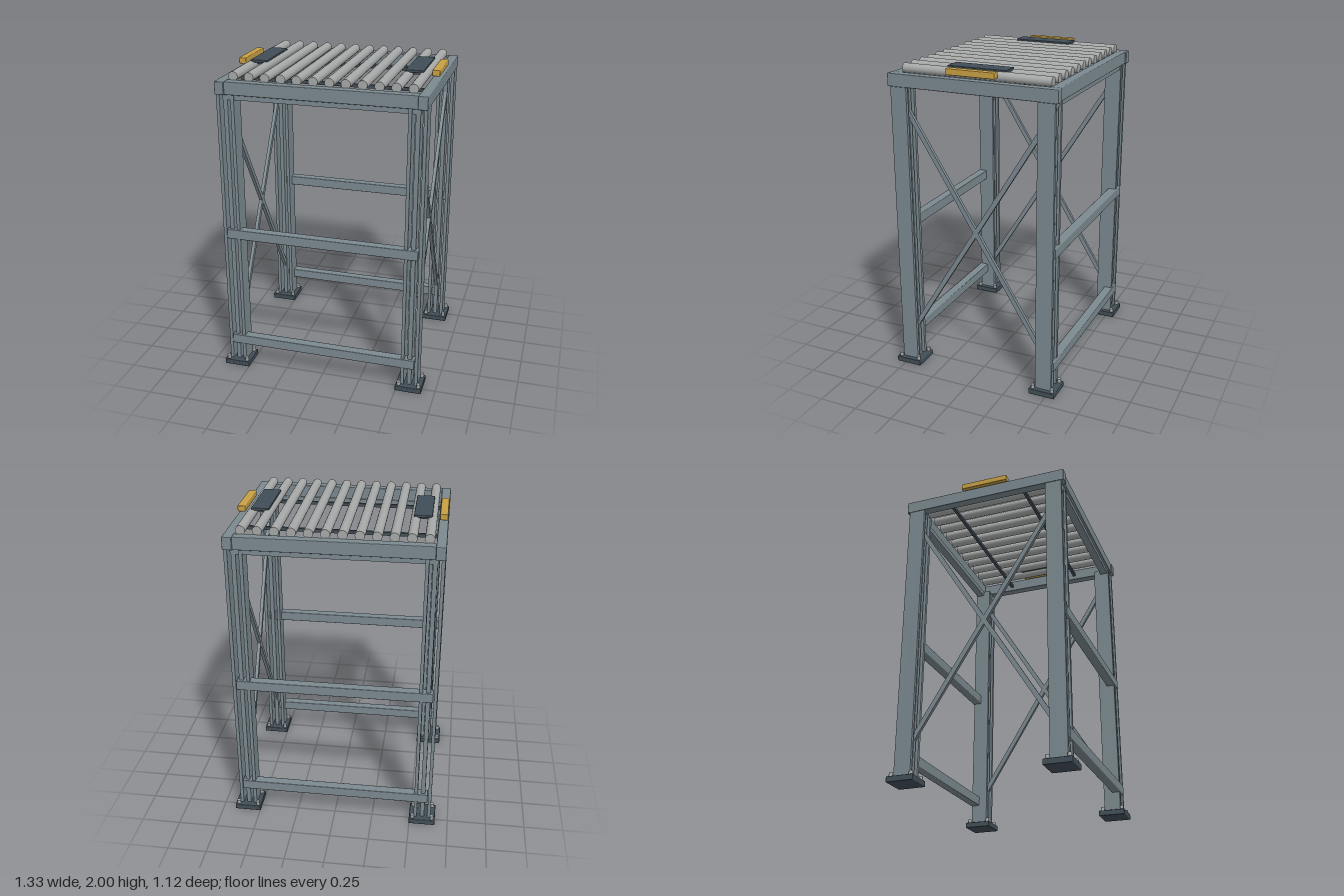
import * as THREE from 'three';
import { RoundedBoxGeometry } from 'three/addons/geometries/RoundedBoxGeometry.js';

const material = (name, color) => {
  const m = new THREE.MeshStandardMaterial({ color });
  m.name = name;
  return m;
};

export function createModel() {
  const model = new THREE.Group();
  model.name = 'rollerStand';

  const frame = material('blue grey steel', 0x7b8990);
  const roller = material('roller grey', 0xa6a9a8);
  const dark = material('dark slate', 0x414e57);
  const amber = material('amber', 0xc9a144);

  const add = (name, geometry, mat, x, y, z) => {
    const mesh = new THREE.Mesh(geometry, mat);
    mesh.name = name;
    mesh.position.set(x, y, z);
    model.add(mesh);
    return mesh;
  };
  // Box with slightly eased edges
  const box = (name, mat, w, h, d, x, y, z, r = 0.005) =>
    add(name, new RoundedBoxGeometry(w, h, d, 1, r), mat, x, y, z);

  const sides = [-1, 1];
  const legX = 0.582, legZ = 0.474;

  for (const sx of sides) {
    for (const sz of sides) {
      const x = sx * legX, z = sz * legZ;

      // Foot plate with four anchor bolts
      box('footPlate', dark, 0.17, 0.036, 0.172, x, 0.022, z);
      for (const bx of sides) for (const bz of sides) {
        add('anchorBolt', new THREE.CylinderGeometry(0.012, 0.012, 0.024, 12), roller,
          x + bx * 0.064, 0.052, z + bz * 0.064);
      }

      // Leg made of two flanges and a central web plate
      const legH = 1.822, legY = 0.04 + legH / 2;
      for (const fx of sides) {
        add('legFlange', new THREE.BoxGeometry(0.021, legH, 0.106), frame, x + fx * 0.045, legY, z);
      }
      add('legWeb', new THREE.BoxGeometry(0.027, legH, 0.09), frame, x, legY, z);
    }

    // Side rail of the top frame
    box('sideRail', frame, 0.058, 0.08, 1.09, sx * 0.611, 1.902, 0);

    // Crossed diagonal braces between front and back legs
    const dy = 1.46, dz = 0.9;
    for (const dir of sides) {
      const brace = add('diagonalBrace',
        new THREE.BoxGeometry(0.022, Math.hypot(dy, dz), 0.03), frame, sx * legX, 0.99, 0);
      brace.rotation.x = dir * Math.atan2(dz, dy);
    }

    // Side guide block and pressure plate above the rollers
    box('guideBlock', amber, 0.048, 0.038, 0.314, sx * 0.612, 1.981, 0);
    box('pressurePlate', dark, 0.11, 0.017, 0.38, sx * 0.49, 1.9915, 0, 0.004);
    add('plateMount', new THREE.BoxGeometry(0.065, 0.02, 0.3), dark, sx * 0.49, 1.975, 0);
  }

  for (const sz of sides) {
    // End rail of the top frame with its lower flange
    box('endRail', frame, 1.166, 0.08, 0.06, 0, 1.902, sz * 0.507);
    add('endRailFlange', new THREE.BoxGeometry(1.2, 0.034, 0.05), frame, 0, 1.847, sz * 0.495);

    // Horizontal cross members between the legs
    for (const y of [0.193, 0.957]) {
      box('crossMember', frame, 1.226, 0.064, 0.06, 0, y, sz * 0.505);
    }

    // Support bars beneath the rollers
    add('rollerSupport', new THREE.BoxGeometry(1.17, 0.02, 0.018), dark, 0, 1.9, sz * 0.252);
  }

  // Row of rollers
  const rollerGeometry = new THREE.CylinderGeometry(0.029, 0.029, 0.956, 24);
  rollerGeometry.rotateX(Math.PI / 2);
  const count = 12;
  for (let i = 0; i < count; i++) {
    add('roller', rollerGeometry, roller, -0.544 + (1.088 * i) / (count - 1), 1.962, 0);
  }

  return model;
}
